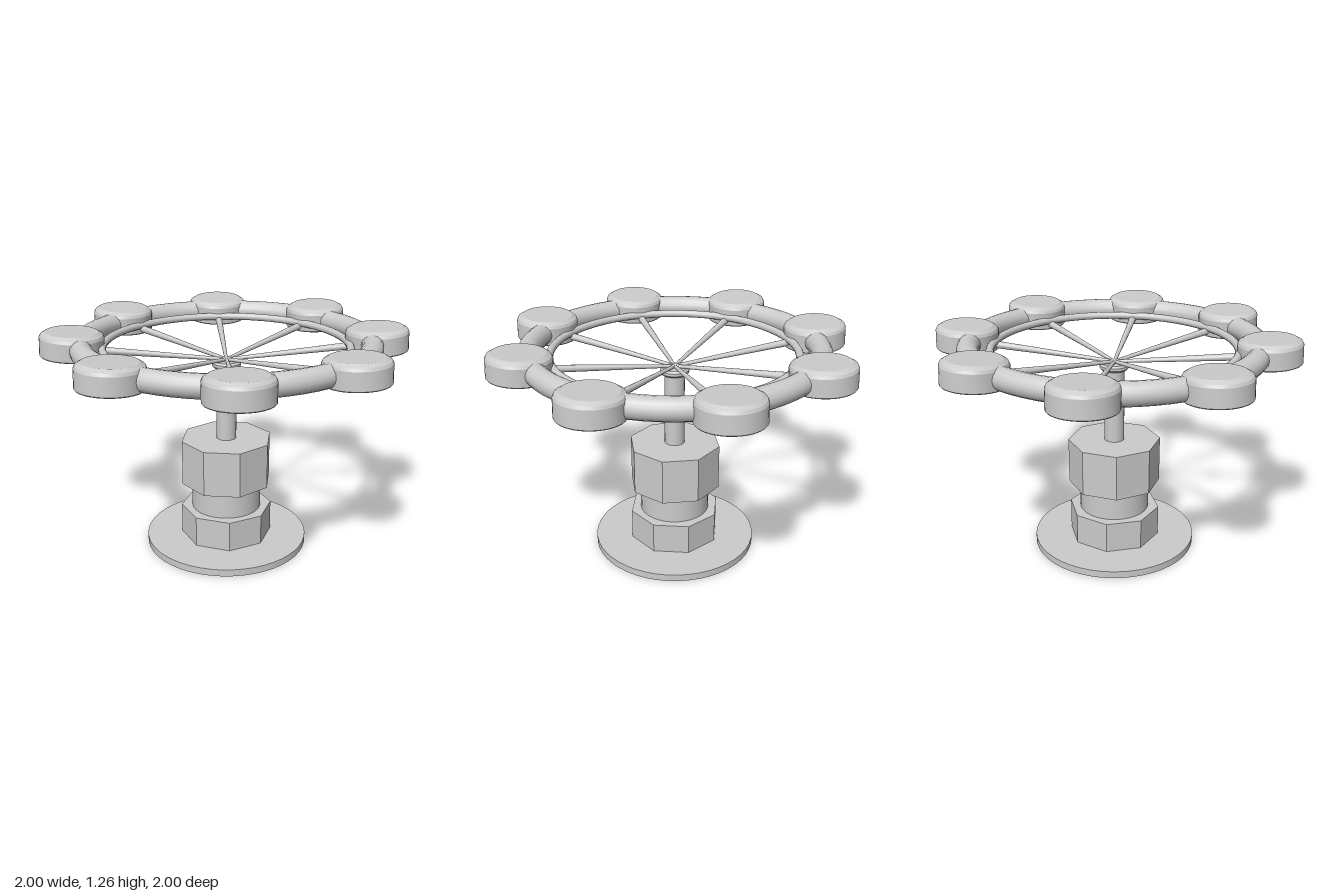
import * as THREE from 'three';
import { toCreasedNormals } from 'three/addons/utils/BufferGeometryUtils.js';

const grey = new THREE.MeshStandardMaterial({ color: 0xcccccc });
const greyFlat = new THREE.MeshStandardMaterial({ color: 0xcccccc, flatShading: true });

function add(parent, name, geometry, material = grey) {
  const mesh = new THREE.Mesh(geometry, material);
  mesh.name = name;
  parent.add(mesh);
  return mesh;
}

// Upright cylinder between two heights
function column(parent, name, radius, y0, y1, sides, material = grey, turn = 0) {
  const geo = new THREE.CylinderGeometry(radius, radius, y1 - y0, sides, 1, false, turn);
  geo.translate(0, (y0 + y1) / 2, 0);
  return add(parent, name, geo, material);
}

function lathe(points, sides) {
  const geo = new THREE.LatheGeometry(points.map(([r, y]) => new THREE.Vector2(r, y)), sides);
  return toCreasedNormals(geo, 0.35);
}

function ring(parent, name, radius, tube, y) {
  const geo = new THREE.TorusGeometry(radius, tube, 16, 64);
  geo.rotateX(Math.PI / 2);
  geo.translate(0, y, 0);
  return add(parent, name, geo);
}

export function createModel() {
  const model = new THREE.Group();
  model.name = 'valveHandwheel';

  // Base, octagonal nuts and stem
  column(model, 'basePlate', 0.463, 0, 0.04, 48);
  column(model, 'lowerNut', 0.26, 0.04, 0.215, 8, greyFlat);
  column(model, 'neck', 0.198, 0.215, 0.37, 32);
  column(model, 'upperNut', 0.26, 0.37, 0.63, 8, greyFlat, THREE.MathUtils.degToRad(12.5));
  column(model, 'stem', 0.056, 0.63, 1.06, 24);
  add(model, 'stemCollar', lathe(
    [[0, 1.045], [0.072, 1.045], [0.08, 1.055], [0.08, 1.07], [0.068, 1.08], [0, 1.08]], 24));

  // Wheel rims
  ring(model, 'outerRim', 0.78, 0.06, 1.185);
  ring(model, 'innerRim', 0.667, 0.021, 1.17);

  // Spokes thicken outward; each ends in a slightly tilted grip
  const spokeRun = 0.8, spokeRise = 0.075;
  const spokeLength = Math.hypot(spokeRun, spokeRise);
  const spokeGeo = new THREE.CylinderGeometry(0.023, 0.009, spokeLength, 12);
  spokeGeo.translate(0, spokeLength / 2, 0);
  const gripGeo = lathe(
    [[0, -0.06], [0.168, -0.06], [0.172, -0.055], [0.172, 0.04], [0.165, 0.055],
      [0.14, 0.07], [0, 0.07]], 40);

  for (let i = 0; i < 8; i++) {
    const arm = new THREE.Group();
    arm.name = `arm${i + 1}`;
    arm.rotation.y = (i * Math.PI) / 4;
    const spoke = add(arm, 'spoke', spokeGeo);
    spoke.position.y = 1.087;
    spoke.rotation.z = -Math.atan2(spokeRun, spokeRise);
    const grip = add(arm, 'grip', gripGeo);
    grip.position.set(0.827, 1.187, 0);
    grip.rotation.z = 0.05;
    model.add(arm);
  }
  return model;
}
